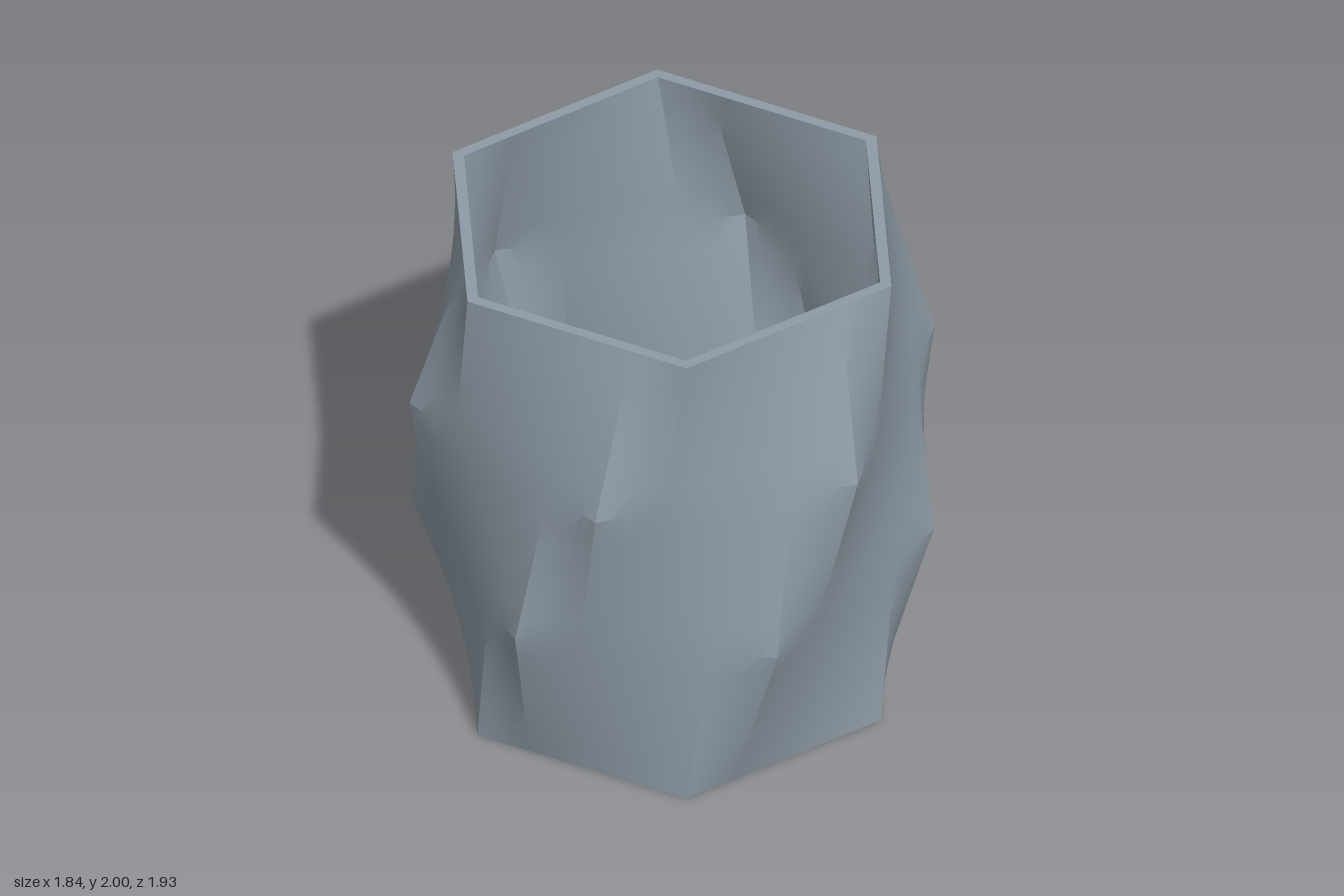
import * as THREE from 'three';
import { toCreasedNormals } from 'three/addons/utils/BufferGeometryUtils.js';

const PER_SIDE = 16;            // points along each hexagon side
const COUNT = PER_SIDE * 6;
const STEPS = 6;                // rows between neighbouring sections
const RADII = [0.845, 0.955, 0.978, 0.888];
const WALL = 0.046;
const FLOOR = 0.05;
const HOLE = 0.09;

// Point on section k: a hexagon turned 20 degrees per section,
// with the points sliding a quarter side along it.
function sectionPoint(k, j, inset) {
  const u = j / PER_SIDE + k / 4;
  const side = Math.floor(u);
  const f = u - side;
  const r = RADII[k] - inset;
  const a = THREE.MathUtils.degToRad(120 - 20 * k + 60 * side);
  const b = a + Math.PI / 3;
  return new THREE.Vector3(
    r * ((1 - f) * Math.cos(a) + f * Math.cos(b)),
    k * 2 / 3,
    r * ((1 - f) * Math.sin(a) + f * Math.sin(b)));
}

// Ring of the wall at height y, ruled straight between sections
function wallRing(y, inset) {
  const t = y * 1.5;
  const k = Math.min(2, Math.floor(t + 1e-6));
  return Array.from({ length: COUNT }, (_, j) =>
    sectionPoint(k, j, inset).lerp(sectionPoint(k + 1, j, inset), t - k));
}

// Drain hole ring whose points line up with the wall ring
function holeRing(y, ring) {
  return ring.map((p) => {
    const a = Math.atan2(p.z, p.x);
    return new THREE.Vector3(HOLE * Math.cos(a), y, HOLE * Math.sin(a));
  });
}

// Skin over a list of closed rings
function loft(rings, crease) {
  const positions = rings.flatMap((ring) => ring.flatMap((p) => p.toArray()));
  const index = [];
  for (let i = 0; i < rings.length - 1; i++) {
    for (let j = 0; j < COUNT; j++) {
      const n = (j + 1) % COUNT;
      const a = i * COUNT + j, b = i * COUNT + n;
      const c = a + COUNT, d = b + COUNT;
      index.push(a, c, b, b, c, d);
    }
  }
  const geometry = new THREE.BufferGeometry();
  geometry.setAttribute('position', new THREE.Float32BufferAttribute(positions, 3));
  geometry.setIndex(index);
  return toCreasedNormals(geometry, crease);
}

export function createModel() {
  const group = new THREE.Group();
  group.name = 'twistedPlanter';
  const clay = new THREE.MeshStandardMaterial({ color: 0x8e9ba6 });
  clay.name = 'blueGrey';

  const add = (name, rings, crease = 0.3) => {
    const mesh = new THREE.Mesh(loft(rings, crease), clay);
    mesh.name = name;
    group.add(mesh);
  };

  const heights = Array.from({ length: 3 * STEPS + 1 }, (_, i) => i * 2 / (3 * STEPS));
  const outer = heights.map((y) => wallRing(y, 0));
  const inner = [FLOOR, ...heights.slice(1)].map((y) => wallRing(y, WALL)).reverse();
  const top = outer[outer.length - 1];
  const floorEdge = inner[inner.length - 1];
  const holeBottom = holeRing(0, outer[0]);
  const holeTop = holeRing(FLOOR, outer[0]);

  add('outerWall', outer);
  add('rim', [top, inner[0]]);
  add('innerWall', inner);
  add('floor', [floorEdge, holeRing(FLOOR, floorEdge)]);
  add('drainHole', [holeTop, holeBottom], 0.6);
  add('base', [holeBottom, outer[0]]);
  return group;
}
